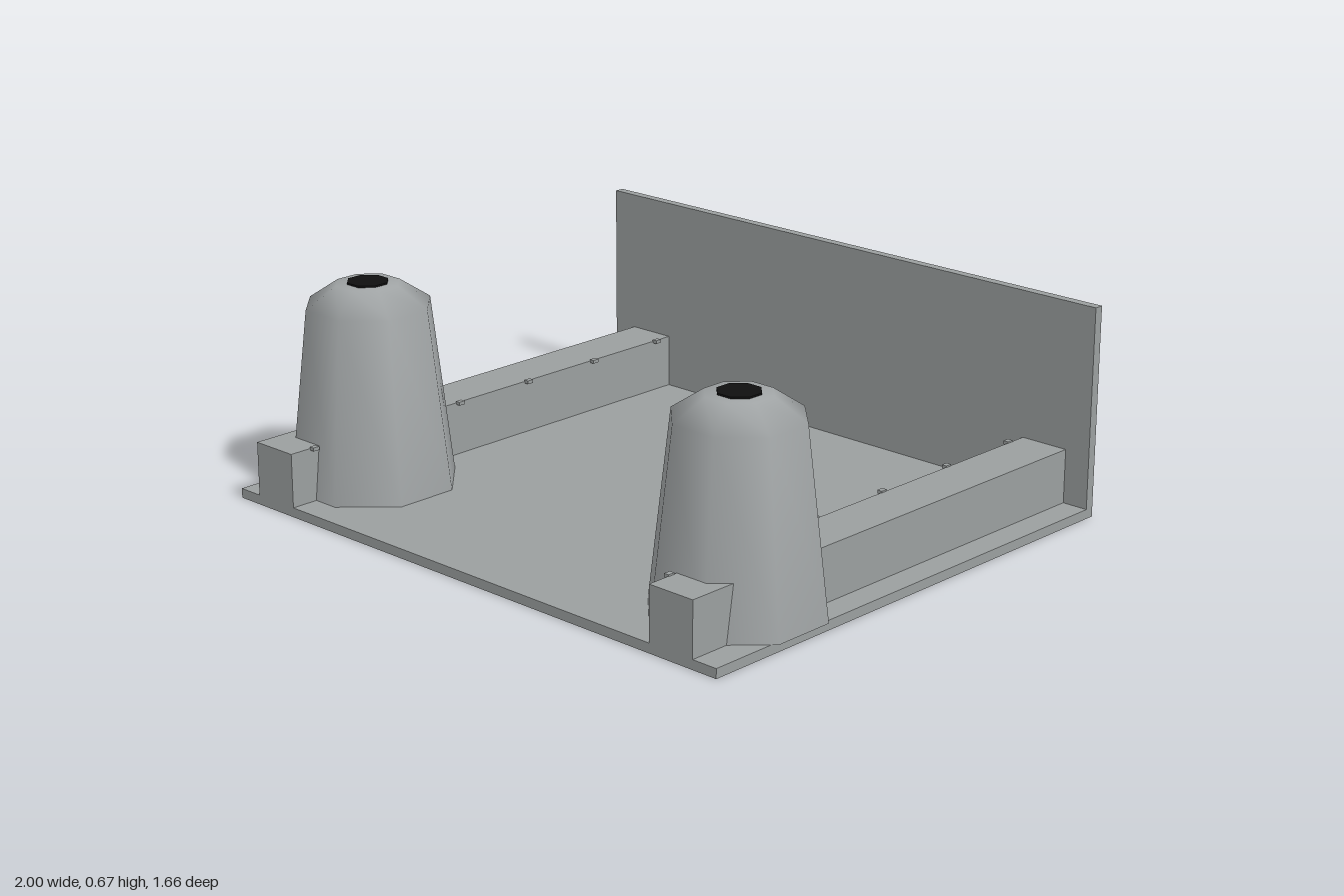
import * as THREE from 'three';

export function createModel() {
  const model = new THREE.Group();
  const grey = new THREE.MeshStandardMaterial({ name: 'base grey', color: 0x9b9f9f });
  const towerGrey = new THREE.MeshStandardMaterial({ name: 'tower grey', color: 0xa0a4a5, side: THREE.DoubleSide });
  const black = new THREE.MeshStandardMaterial({ name: 'black', color: 0x101010 });

  const add = (name, geometry, material, parent = model) => {
    const mesh = new THREE.Mesh(geometry, material);
    mesh.name = name;
    parent.add(mesh);
    return mesh;
  };
  // Box given by its minimum and maximum corners
  const box = (name, x0, x1, y0, y1, z0, z1, parent) =>
    add(name, new THREE.BoxGeometry(x1 - x0, y1 - y0, z1 - z0), grey, parent)
      .position.set((x0 + x1) / 2, (y0 + y1) / 2, (z0 + z1) / 2);

  // Floor plate and back wall
  box('floor', -0.985, 0.985, 0, 0.03, -0.83, 0.83);
  box('backWall', -0.985, 0.985, 0, 0.66, -0.83, -0.8);

  // Tapered eight-sided tower with a sloping shoulder; flats face the axes
  const toCorner = 1 / Math.cos(Math.PI / 8);
  const profile = [[0.244, 0.03], [0.182, 0.595], [0.093, 0.66], [0, 0.662]]
    .map(([r, y]) => new THREE.Vector2(r * toCorner, y));
  const towerGeometry = new THREE.LatheGeometry(profile, 8, Math.PI / 8);
  const capGeometry = new THREE.CylinderGeometry(0.065, 0.065, 0.006, 8, 1, false, Math.PI / 8);

  for (const s of [-1, 1]) {
    const side = new THREE.Group();
    side.name = s > 0 ? 'leftSide' : 'rightSide';
    model.add(side);

    // Side rail
    const span = (a, b) => (s > 0 ? [a, b] : [-b, -a]);
    box('rail', ...span(0.74, 0.9), 0.03, 0.2, -0.8, 0.83, side);

    // Small tabs along the inner top edge of the rail
    for (let i = 0; i < 6; i++) {
      const z = -0.735 + i * 0.296;
      box('railTab', ...span(0.725, 0.742), 0.194, 0.205, z - 0.011, z + 0.011, side);
    }

    // Tower with its black top disc
    add('tower', towerGeometry, towerGrey, side).position.set(s * 0.756, 0, 0.497);
    add('towerCap', capGeometry, black, side).position.set(s * 0.756, 0.663, 0.497);
  }
  return model;
}
